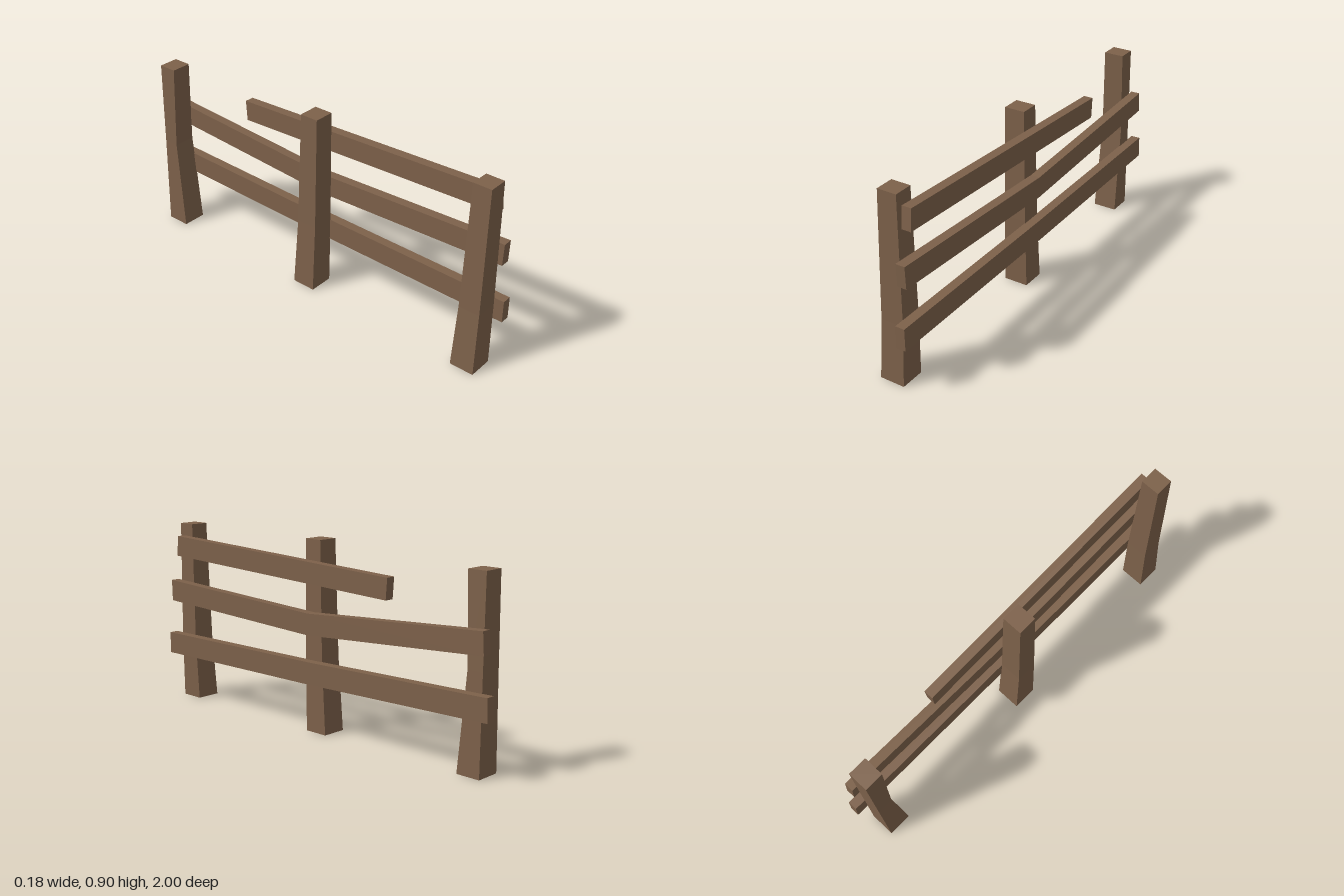
import * as THREE from 'three';

// Skin a list of four-cornered rings; corners run counter-clockwise seen from the end.
function loft(rings, capStart, material, name) {
  const pos = [];
  const quad = (a, b, c, d) => [a, b, c, a, c, d].forEach((p) => pos.push(...p));
  for (let r = 0; r < rings.length - 1; r++) {
    const a = rings[r], b = rings[r + 1];
    for (let i = 0; i < 4; i++) {
      const j = (i + 1) % 4;
      quad(a[i], a[j], b[j], b[i]);
    }
  }
  quad(...rings[rings.length - 1]);
  if (capStart) quad(...[...rings[0]].reverse());
  const geometry = new THREE.BufferGeometry();
  geometry.setAttribute('position', new THREE.Float32BufferAttribute(pos, 3));
  geometry.computeVertexNormals();
  const mesh = new THREE.Mesh(geometry, material);
  mesh.name = name;
  return mesh;
}

// Post levels: y, x from/to, z from/to
const postRing = ([y, x0, x1, z0, z1]) => [[x0, y, z1], [x1, y, z1], [x1, y, z0], [x0, y, z0]];

// Rail stations: z at lower edge, z at upper edge, lower y, upper y
const railRing = ([zl, zu, y0, y1]) => [[0.04, y0, zl], [0.085, y0, zl], [0.085, y1, zu], [0.04, y1, zu]];

export function createModel() {
  const group = new THREE.Group();
  group.name = 'fence';
  const wood = new THREE.MeshStandardMaterial({ color: 0x7d614a, side: THREE.DoubleSide });
  wood.name = 'wood';

  // Tapered, slightly crooked posts, open underneath
  const posts = {
    frontPost: [[0, -0.09, 0.03, 0.843, 0.96], [0.3, -0.07, 0.04, 0.85, 0.953], [0.9, -0.052, 0.04, 0.857, 0.945]],
    middlePost: [[0, -0.075, 0.045, -0.073, 0.045], [0.35, -0.068, 0.042, -0.05, 0.053], [0.9, -0.06, 0.038, -0.035, 0.056]],
    backPost: [[0, -0.075, 0.045, -0.94, -0.825], [0.45, -0.066, 0.042, -0.94, -0.864], [0.86, -0.06, 0.038, -0.94, -0.85]],
  };
  for (const [name, levels] of Object.entries(posts)) {
    group.add(loft(levels.map(postRing), false, wood, name));
  }

  // Rails on the left side, bent at the middle post, running back to front
  const rails = {
    bottomRail: [[-1, -0.995, 0.26, 0.365], [0, 0, 0.237, 0.342], [1, 1, 0.227, 0.333]],
    middleRail: [[-0.972, -0.965, 0.53, 0.63], [0, 0, 0.467, 0.568], [0.972, 0.975, 0.505, 0.61]],
    topRail: [[-0.463, -0.47, 0.687, 0.785], [0.925, 0.915, 0.74, 0.84]],
  };
  for (const [name, stations] of Object.entries(rails)) {
    group.add(loft(stations.map(railRing), true, wood, name));
  }
  return group;
}
